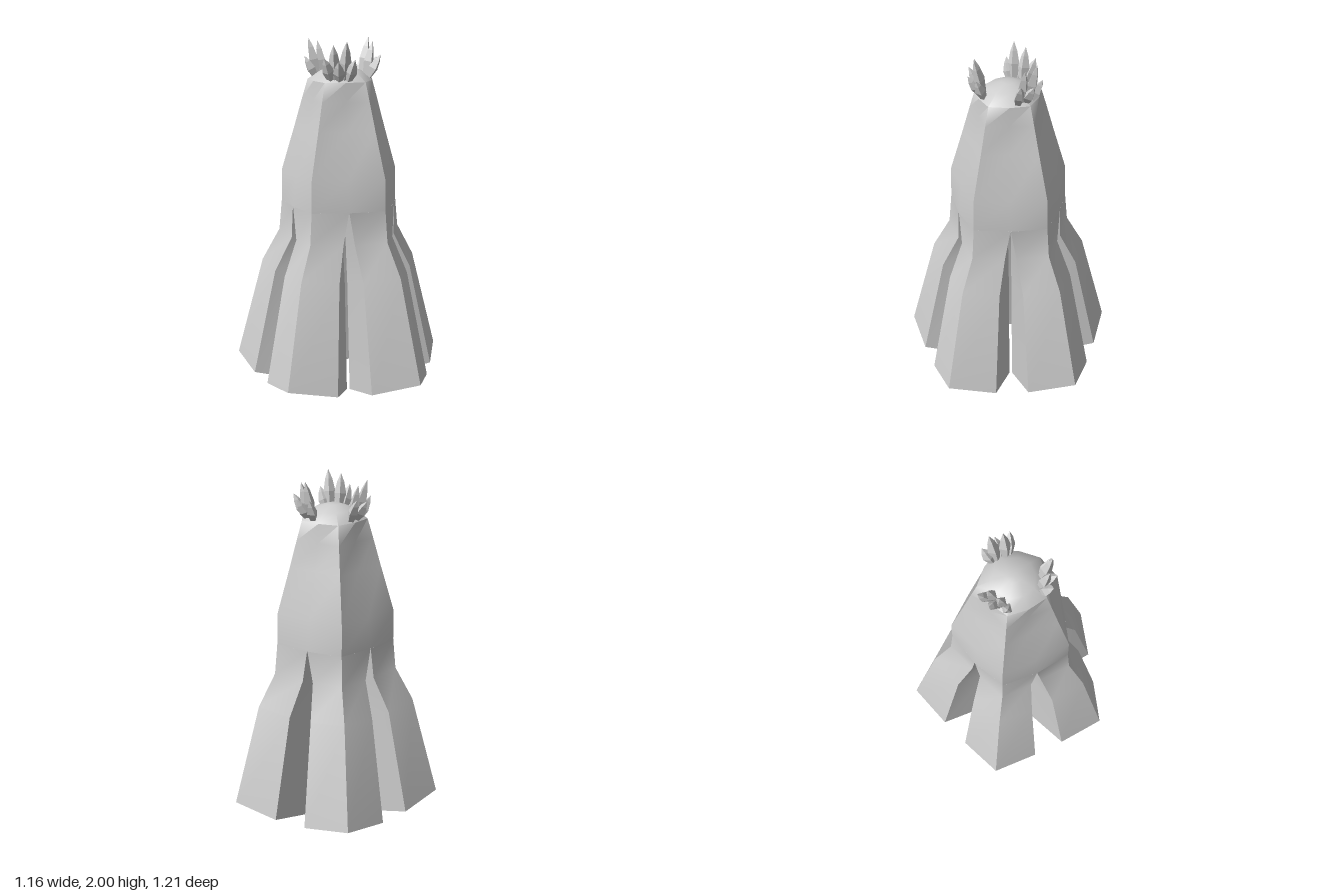
import * as THREE from 'three';
import { toCreasedNormals } from 'three/addons/utils/BufferGeometryUtils.js';

// Closed skin over a stack of rings (bottom to top, points turning from +x to +z)
function loft(rings, crease) {
  const n = rings[0].length, pos = [], index = [];
  rings.forEach(r => r.forEach(p => pos.push(...p)));
  for (let i = 0; i < rings.length - 1; i++) {
    for (let j = 0; j < n; j++) {
      const a = i * n + j, b = i * n + (j + 1) % n;
      index.push(a, a + n, b, b, a + n, b + n);
    }
  }
  [rings[0], rings[rings.length - 1]].forEach((ring, top) => {
    const start = top ? (rings.length - 1) * n : 0, c = pos.length / 3;
    pos.push(...[0, 1, 2].map(k => ring.reduce((s, p) => s + p[k], 0) / n));
    for (let j = 0; j < n; j++) {
      const a = start + j, b = start + (j + 1) % n;
      index.push(c, top ? b : a, top ? a : b);
    }
  });
  const g = new THREE.BufferGeometry();
  g.setAttribute('position', new THREE.Float32BufferAttribute(pos, 3));
  g.setIndex(index);
  return toCreasedNormals(g, crease);
}

// Pentagonal leg section: outer ridge, side corners, inner corners
function legRing([tipR, tipY, sideR, sideW, sideY, inR, inW, inY]) {
  return [[tipR, tipY, 0], [sideR, sideY, sideW], [inR, inY, inW],
    [inR, inY, -inW], [sideR, sideY, -sideW]];
}

// Five-ridged body section
function bodyRing([y, ridge, valley]) {
  return Array.from({ length: 10 }, (_, i) => {
    const a = i * Math.PI / 5, r = i % 2 ? valley : ridge;
    return [r * Math.cos(a), y, r * Math.sin(a)];
  });
}

// Faceted pointed blade running from one point to another
function bladeGeometry(from, to) {
  const dir = to.clone().sub(from), len = dir.length();
  const profile = [[0, 0], [0.02, 0.02], [0.036, 0.5 * len], [0.022, 0.78 * len], [0, len]];
  let g = new THREE.LatheGeometry(profile.map(p => new THREE.Vector2(...p)), 4);
  g.scale(0.85, 1, 0.95);
  g.applyQuaternion(new THREE.Quaternion().setFromUnitVectors(
    new THREE.Vector3(0, 1, 0), dir.normalize()));
  g.translate(from.x, from.y, from.z);
  g = g.toNonIndexed();
  g.computeVertexNormals();
  return g;
}

export function createModel() {
  const model = new THREE.Group();
  model.name = 'fiveLeggedCreature';
  const grey = new THREE.MeshStandardMaterial({ color: 0xcccccc });
  grey.name = 'grey';
  const creature = new THREE.Group();
  creature.name = 'creature';
  creature.position.x = -0.057;
  model.add(creature);

  const add = (geometry, name, parent) => {
    const mesh = new THREE.Mesh(geometry, grey);
    mesh.name = name;
    parent.add(mesh);
    return mesh;
  };

  // Body with five ridges that soften into a dome
  add(loft([
    [1.06, 0.355, 0.308], [1.24, 0.352, 0.288], [1.5, 0.274, 0.208],
    [1.66, 0.228, 0.178], [1.77, 0.195, 0.175], [1.82, 0.12, 0.115], [1.847, 0.04, 0.04],
  ].map(bodyRing), 0.8), 'body', creature);

  // Five flared legs
  const leg = loft([
    [0.637, 0.1, 0.48, 0.23, 0.06, 0.22, 0.15, 0],
    [0.477, 0.69, 0.36, 0.177, 0.67, 0.15, 0.1, 0.62],
    [0.372, 0.88, 0.265, 0.152, 0.87, 0.09, 0.055, 0.85],
    [0.355, 1.06, 0.25, 0.18, 1.06, 0.02, 0.01, 1.06],
  ].map(legRing), 0.5);
  for (let i = 0; i < 5; i++) {
    add(leg, 'leg' + (i + 1), creature).rotation.y = i * Math.PI * 2 / 5;
  }

  // Three tufts of blades: base side offset, tip side offset, tip radius, tip height
  const blades = [
    [-0.04, -0.09, 0.19, 1.9], [-0.025, -0.045, 0.195, 2.0], [0, 0, 0.225, 1.89],
    [0.025, 0.03, 0.185, 1.98], [0.04, 0.08, 0.21, 1.91],
  ].map(([base, side, r, y]) => bladeGeometry(
    new THREE.Vector3(0.135, 1.755, base), new THREE.Vector3(r, y, side)));
  for (let i = 0; i < 3; i++) {
    const tuft = new THREE.Group();
    tuft.name = 'tuft' + (i + 1);
    tuft.rotation.y = i * Math.PI * 2 / 3;
    blades.forEach((g, j) => add(g, 'blade' + (j + 1), tuft));
    creature.add(tuft);
  }
  return model;
}
